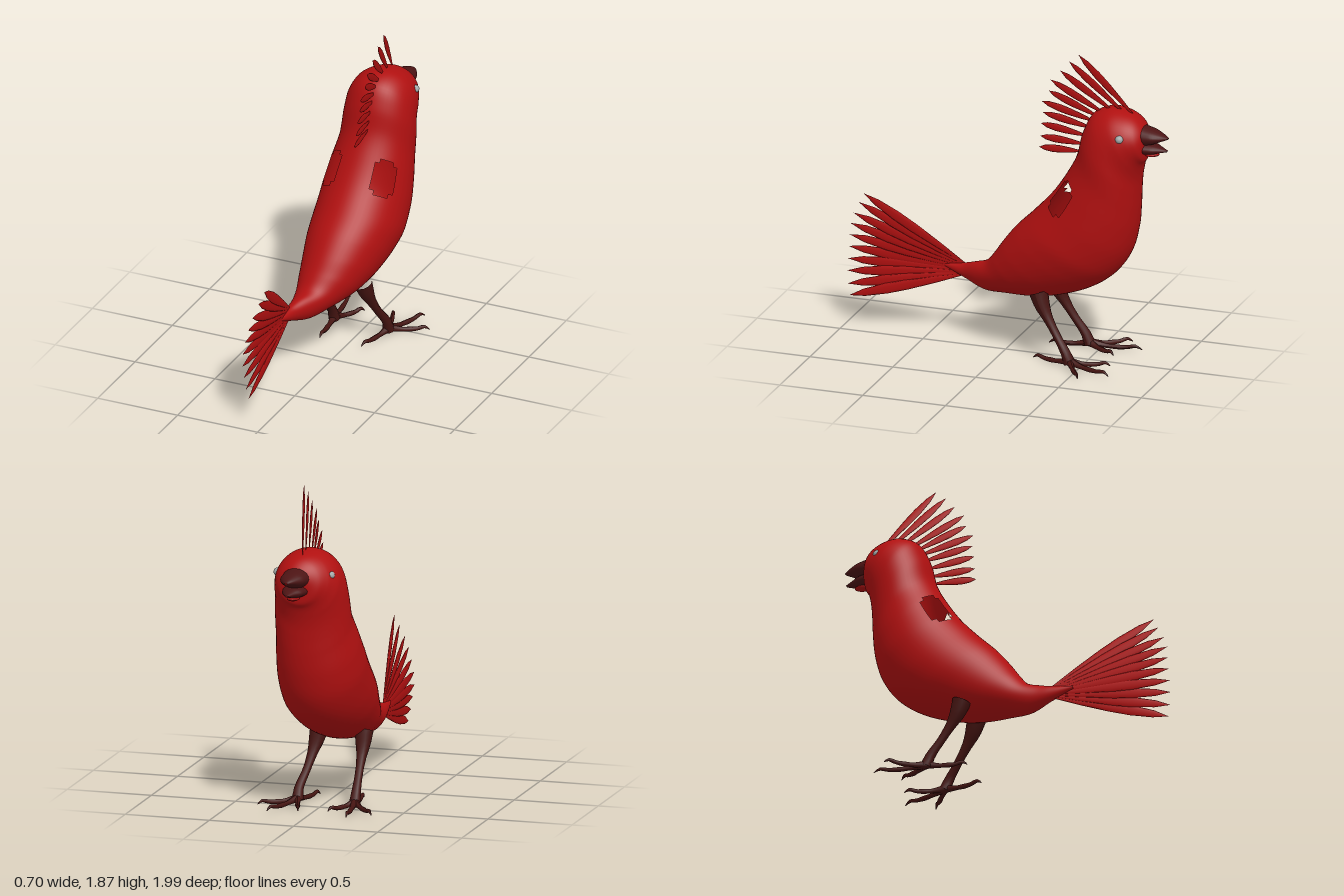
import * as THREE from 'three';

const plumage = new THREE.MeshStandardMaterial({ color: 0xb01010, side: THREE.DoubleSide });
plumage.name = 'red plumage';
const beakMat = new THREE.MeshStandardMaterial({ color: 0x4c1414, side: THREE.DoubleSide });
beakMat.name = 'dark beak';
const legMat = new THREE.MeshStandardMaterial({ color: 0x451411 });
legMat.name = 'dark brown leg';
const eyeMat = new THREE.MeshStandardMaterial({ color: 0xa4acac });
eyeMat.name = 'grey eye';

const V = (x, y, z) => new THREE.Vector3(x, y, z);

function add(parent, name, geometry, material) {
  const mesh = new THREE.Mesh(geometry, material);
  mesh.name = name;
  parent.add(mesh);
  return mesh;
}

// Skin over oval sections [topZ, topY, bottomZ, bottomY, centreX, halfWidth];
// isHole(s, angle) leaves an opening.
function loft(sections, sub, seg, isHole = () => false) {
  const curve = (f) => new THREE.CatmullRomCurve3(sections.map(f));
  const top = curve((s) => V(0, s[1], s[0]));
  const bottom = curve((s) => V(0, s[3], s[2]));
  const width = curve((s) => V(s[4], s[5], 0));
  const n = (sections.length - 1) * sub;
  const pos = [], idx = [];
  for (let i = 0; i <= n; i++) {
    const t = top.getPoint(i / n), b = bottom.getPoint(i / n), w = width.getPoint(i / n);
    const mid = t.clone().add(b).multiplyScalar(0.5);
    for (let j = 0; j < seg; j++) {
      const a = (j / seg) * Math.PI * 2;
      const p = mid.clone().lerp(t, Math.cos(a));
      pos.push(w.x + Math.max(w.y, 0.001) * Math.sin(a), p.y, p.z);
    }
  }
  for (let i = 0; i < n; i++) {
    for (let j = 0; j < seg; j++) {
      const mirrored = Math.min(j + 0.5, seg - j - 0.5) * 360 / seg;
      if (isHole((i + 0.5) / sub, mirrored)) continue;
      const a = i * seg + j, b = i * seg + (j + 1) % seg;
      idx.push(a, a + seg, b, b, a + seg, b + seg);
    }
  }
  const g = new THREE.BufferGeometry();
  g.setAttribute('position', new THREE.Float32BufferAttribute(pos, 3));
  g.setIndex(idx);
  g.computeVertexNormals();
  return g;
}

// Tube whose radius follows a list of values along the path.
function taperedTube(points, radii, seg = 8) {
  const n = 14;
  const curve = new THREE.CatmullRomCurve3(points);
  const g = new THREE.TubeGeometry(curve, n, 1, seg, false);
  const p = g.attributes.position, v = V(0, 0, 0);
  for (let i = 0; i < p.count; i++) {
    const t = Math.floor(i / (seg + 1)) / n;
    const f = t * (radii.length - 1), k = Math.min(Math.floor(f), radii.length - 2);
    const r = THREE.MathUtils.lerp(radii[k], radii[k + 1], f - k);
    const c = curve.getPointAt(t);
    v.fromBufferAttribute(p, i).sub(c).multiplyScalar(r).add(c);
    p.setXYZ(i, v.x, v.y, v.z);
  }
  g.computeVertexNormals();
  return g;
}

// Flat spindle-shaped feather from base to tip, thin across x.
function feather(parent, name, base, tip, width) {
  const profile = [[0.12, 0], [0.62, 0.25], [0.95, 0.5], [1, 0.68], [0.7, 0.87], [0, 1]];
  const g = new THREE.LatheGeometry(profile.map((p) => new THREE.Vector2(p[0], p[1])), 10);
  const y = tip.clone().sub(base), len = y.length();
  y.normalize();
  const x = V(1, 0, 0).addScaledVector(y, -y.x).normalize();
  const z = x.clone().cross(y);
  g.scale(width * 0.1, len, width * 0.5);
  g.applyMatrix4(new THREE.Matrix4().makeBasis(x, y, z).setPosition(base));
  add(parent, name, g, plumage);
}

export function createModel() {
  const bird = new THREE.Group();
  bird.name = 'crestedBird';

  // Head, breast and rump, with an opening in each shoulder
  const body = [
    [-0.875, 1.40, -0.875, 1.39, 0.035, 0.005],
    [-0.86, 1.46, -0.865, 1.32, 0.035, 0.075],
    [-0.81, 1.515, -0.86, 1.27, 0.025, 0.125],
    [-0.74, 1.545, -0.84, 1.24, 0.015, 0.16],
    [-0.64, 1.555, -0.825, 1.19, 0.005, 0.19],
    [-0.54, 1.51, -0.815, 1.13, 0, 0.205],
    [-0.48, 1.40, -0.81, 1.05, 0, 0.215],
    [-0.44, 1.25, -0.805, 0.95, -0.005, 0.22],
    [-0.37, 1.12, -0.79, 0.82, -0.015, 0.24],
    [-0.28, 0.99, -0.75, 0.68, -0.02, 0.255],
    [-0.17, 0.87, -0.67, 0.56, -0.02, 0.257],
    [-0.06, 0.76, -0.54, 0.46, -0.03, 0.24],
    [0.02, 0.66, -0.36, 0.385, -0.04, 0.205],
    [0.08, 0.575, -0.18, 0.345, -0.055, 0.165],
    [0.14, 0.505, 0, 0.33, -0.075, 0.115],
    [0.22, 0.475, 0.15, 0.32, -0.1, 0.07],
    [0.3, 0.45, 0.28, 0.36, -0.125, 0.035],
    [0.42, 0.435, 0.42, 0.42, -0.13, 0.008],
  ];
  const shoulderGap = (s, deg) =>
    s > 7.75 && s < 9.2 && deg > 24 && deg < 58 && Math.abs(deg - 41) / 34 + Math.abs(s - 8.47) / 1.5 < 0.72;
  add(bird, 'body', loft(body, 6, 56, shoulderGap), plumage);

  // Open beak, tip to base
  add(bird, 'upperBeak', loft([
    [-1.0, 1.42, -0.997, 1.412, 0.045, 0.008],
    [-0.97, 1.437, -0.955, 1.395, 0.043, 0.038],
    [-0.91, 1.46, -0.91, 1.375, 0.037, 0.07],
    [-0.85, 1.475, -0.86, 1.36, 0.033, 0.08],
  ], 4, 20), beakMat);
  add(bird, 'lowerBeak', loft([
    [-0.995, 1.345, -0.99, 1.336, 0.045, 0.008],
    [-0.95, 1.362, -0.945, 1.325, 0.042, 0.035],
    [-0.91, 1.375, -0.91, 1.315, 0.037, 0.06],
    [-0.85, 1.385, -0.86, 1.31, 0.033, 0.075],
  ], 4, 20), beakMat);
  const chin = add(bird, 'chinTuft', new THREE.SphereGeometry(1, 14, 10), plumage);
  chin.scale.set(0.035, 0.014, 0.05);
  chin.position.set(0.035, 1.31, -0.89);

  // Eyes
  for (const side of [-1, 1]) {
    const eye = add(bird, side > 0 ? 'leftSideEye' : 'rightSideEye', new THREE.IcosahedronGeometry(0.024, 1), eyeMat);
    eye.position.set(0.015 + side * 0.158, 1.425, -0.748);
  }

  // Crest: [baseZ, baseY, tipZ, tipY]
  const crest = new THREE.Group();
  crest.name = 'crest';
  bird.add(crest);
  [
    [-0.79, 1.51, -0.475, 1.88], [-0.73, 1.52, -0.415, 1.83],
    [-0.67, 1.52, -0.36, 1.765], [-0.62, 1.5, -0.3, 1.70],
    [-0.58, 1.48, -0.285, 1.63], [-0.56, 1.45, -0.24, 1.56],
    [-0.54, 1.41, -0.245, 1.49], [-0.51, 1.36, -0.23, 1.42],
    [-0.49, 1.31, -0.225, 1.34], [-0.47, 1.265, -0.215, 1.27],
  ].forEach(([bz, by, tz, ty], i) => {
    feather(crest, 'crestFeather', V(0.012, by, bz), V(0.1 - i * 0.007, ty, tz), 0.046);
  });

  // Tail fan: [tipZ, tipY, tipX]
  const tail = new THREE.Group();
  tail.name = 'tail';
  bird.add(tail);
  [
    [0.865, 0.835, -0.02], [0.9, 0.77, -0.04], [0.94, 0.695, -0.06], [0.965, 0.625, -0.075],
    [0.975, 0.55, -0.09], [0.985, 0.475, -0.1], [0.99, 0.4, -0.1], [0.99, 0.33, -0.09],
    [0.985, 0.255, -0.08], [0.97, 0.19, -0.07],
  ].forEach(([tz, ty, tx], i) => {
    feather(tail, 'tailFeather', V(-0.13, 0.445 - i * 0.007, 0.29), V(tx, ty, tz), 0.062);
  });

  // Legs and feet; toes are [tipX, tipZ]
  const legs = [
    { name: 'rightSideLeg', hip: -0.18, ankle: -0.19,
      toes: [[-0.35, -0.64], [-0.23, -0.74], [-0.085, -0.62], [-0.17, -0.2]] },
    { name: 'leftSideLeg', hip: 0.085, ankle: 0.15,
      toes: [[0.35, -0.56], [0.25, -0.71], [0.08, -0.66], [0.09, -0.2]] },
  ];
  for (const { name, hip, ankle, toes } of legs) {
    const leg = new THREE.Group();
    leg.name = name;
    bird.add(leg);
    add(leg, 'shank', taperedTube([
      V(hip, 0.41, -0.23), V(hip + (ankle - hip) * 0.2, 0.33, -0.26),
      V(hip + (ankle - hip) * 0.6, 0.19, -0.345), V(ankle, 0.09, -0.415), V(ankle, 0.03, -0.44),
    ], [0.055, 0.045, 0.03, 0.024, 0.023, 0.027, 0.034], 12), legMat);
    for (const [tx, tz] of toes) {
      const at = (t, y) => V(ankle + (tx - ankle) * t, y, -0.44 + (tz + 0.44) * t);
      add(leg, 'toe', taperedTube(
        [at(0, 0.04), at(0.35, 0.026), at(0.7, 0.026), at(0.88, 0.036), at(1, 0.016)],
        [0.026, 0.018, 0.013, 0.015, 0.012, 0.011, 0.002]), legMat);
    }
  }
  return bird;
}
